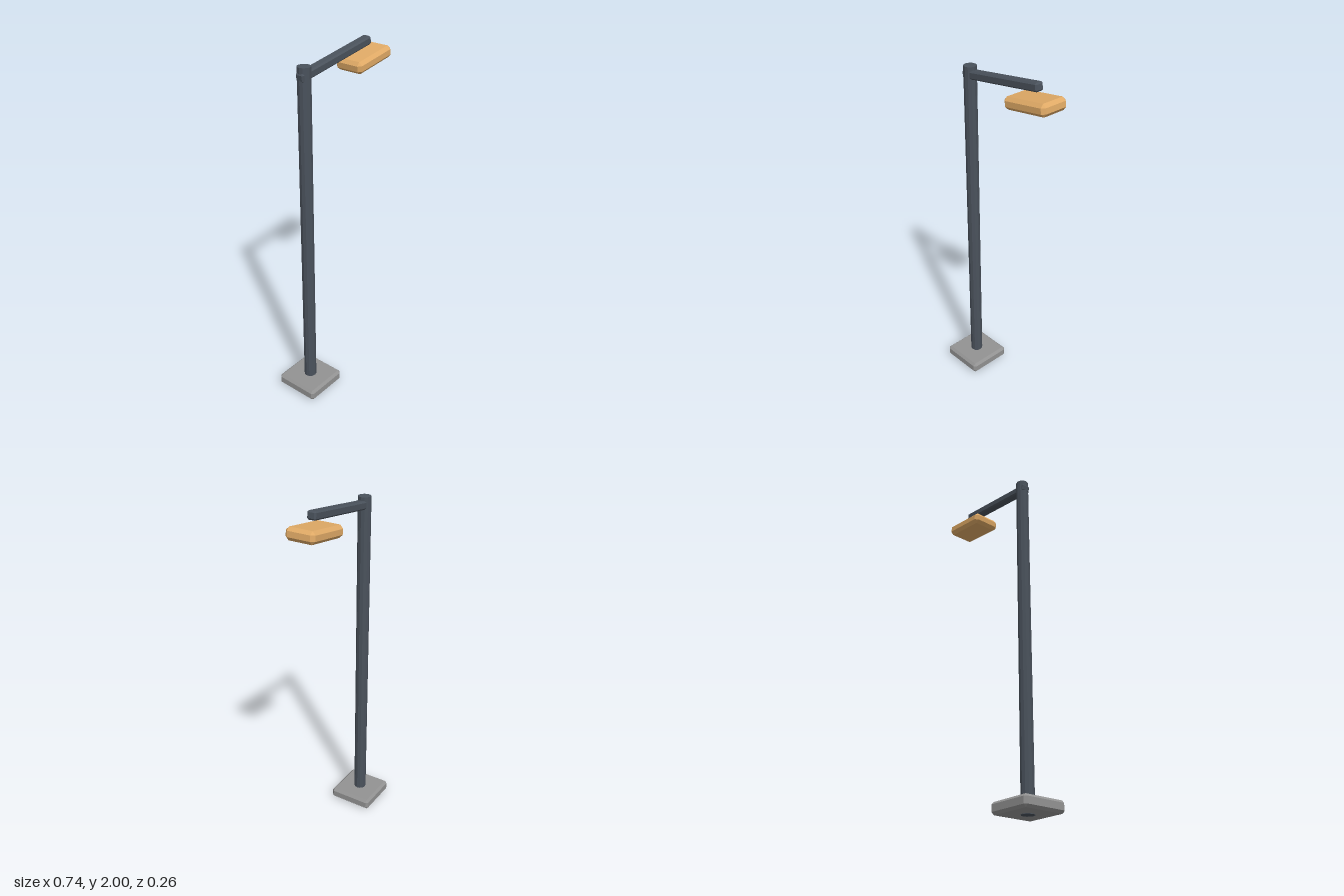
import * as THREE from 'three';
import { ConvexGeometry } from 'three/addons/geometries/ConvexGeometry.js';

const material = (color) => new THREE.MeshStandardMaterial({ color, flatShading: true });

// Box with every edge cut by a single flat chamfer c
function chamferBox(w, h, d, c) {
  const points = [];
  for (const x of [-1, 1]) for (const y of [-1, 1]) for (const z of [-1, 1]) {
    for (let axis = 0; axis < 3; axis++) {
      const half = [w / 2, h / 2, d / 2].map((s, i) => (i === axis ? s : s - c));
      points.push(new THREE.Vector3(x * half[0], y * half[1], z * half[2]));
    }
  }
  return new ConvexGeometry(points);
}

export function createModel() {
  const model = new THREE.Group();
  model.name = 'streetLamp';
  const metal = material(0x4a525c);
  const tilt = THREE.MathUtils.degToRad(8);

  function add(name, geometry, mat, x, y, angle = 0) {
    const mesh = new THREE.Mesh(geometry, mat);
    mesh.name = name;
    mesh.position.set(x, y, 0);
    mesh.rotation.z = angle;
    model.add(mesh);
  }

  // Foot and upright
  add('base', chamferBox(0.262, 0.065, 0.262, 0.014), material(0x939393), -0.24, 0.0355);
  add('pole', new THREE.CylinderGeometry(0.036, 0.036, 1.955, 12), metal, -0.24, 0.9775);

  // Tilted arm with the lamp head hanging just below its end
  add('arm', chamferBox(0.543, 0.045, 0.051, 0.008), metal, -0.008, 1.941, tilt);
  add('lampHead', chamferBox(0.279, 0.066, 0.168, 0.018), material(0xe0aa66), 0.23, 1.889, tilt);

  return model;
}
